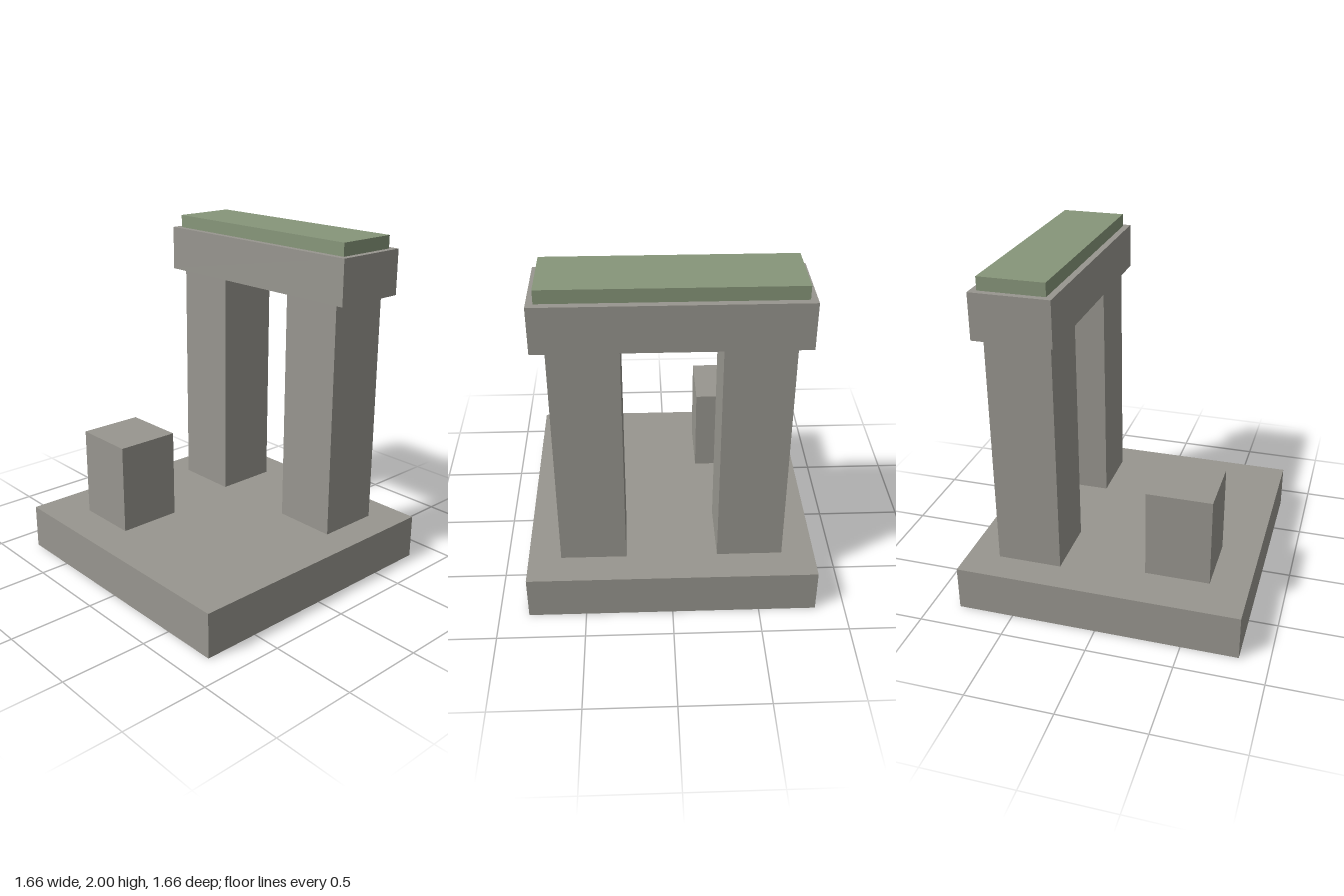
import * as THREE from 'three';

// One block unit: the whole model is 53 units tall and 2 high
const U = 2 / 53;

export function createModel() {
  const model = new THREE.Group();
  model.name = 'stoneRuin';

  const stone = new THREE.MeshStandardMaterial({ color: 0x98968f });
  stone.name = 'stone';
  const moss = new THREE.MeshStandardMaterial({ color: 0x87967a });
  moss.name = 'moss';

  // Block given by its size, bottom height and centre, in units
  function block(name, material, [w, h, d], bottom, x = 0, z = 0) {
    const mesh = new THREE.Mesh(new THREE.BoxGeometry(w * U, h * U, d * U), material);
    mesh.name = name;
    mesh.position.set(x * U, (bottom + h / 2) * U, z * U);
    model.add(mesh);
  }

  // Square plinth
  block('base', stone, [44, 7, 44], 0);

  // Gateway at the back: two pillars, a lintel and its moss cap
  for (const side of [-1, 1]) {
    block(side > 0 ? 'leftPillar' : 'rightPillar', stone, [10, 37, 10], 7, side * 12, -12);
  }
  block('lintel', stone, [38, 7, 12], 44, 0, -12);
  block('mossCap', moss, [36, 2, 10], 51, 0, -12);

  // Broken pillar in front
  block('brokenPillar', stone, [10, 14, 10], 7, -10, 11);

  return model;
}
